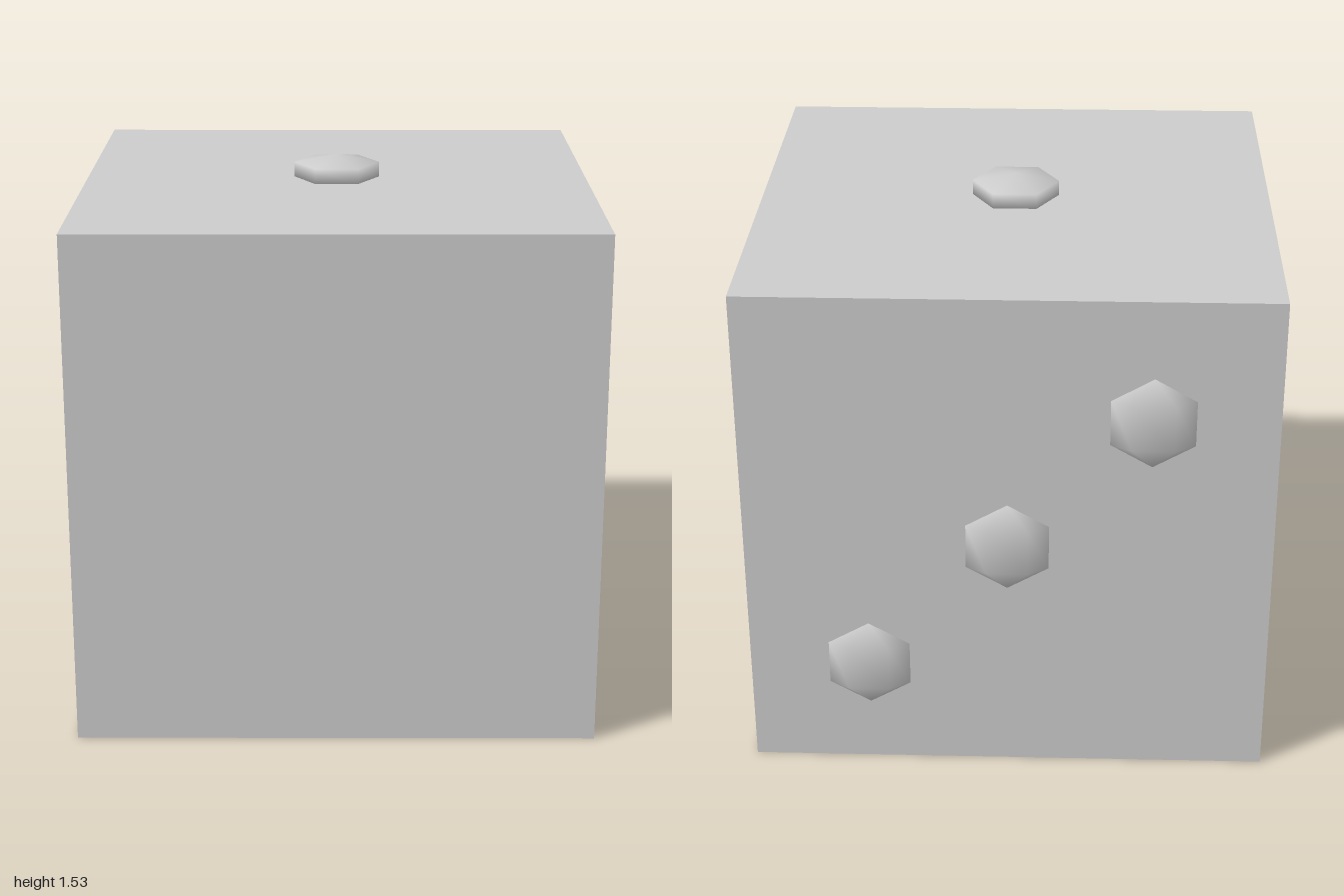
import * as THREE from 'three';

export function createModel() {
  const model = new THREE.Group();
  model.name = 'die';
  const grey = new THREE.MeshStandardMaterial({ color: 0xcccccc });
  grey.name = 'grey';

  const side = 1.464;
  model.rotation.y = Math.PI / 6;

  // cube body
  const body = new THREE.Mesh(new THREE.BoxGeometry(side, side, side), grey);
  body.name = 'body';
  body.position.y = side / 2;
  model.add(body);

  // pips: coarse smooth spheres flattened against their face
  const ball = new THREE.SphereGeometry(1, 6, 3);
  function addPip(name, position, scale) {
    const pip = new THREE.Mesh(ball, grey);
    pip.name = name;
    pip.position.set(...position);
    pip.scale.set(...scale);
    model.add(pip);
  }

  // one pip on top
  addPip('topPip', [0, side + 0.02, 0], [0.144, 0.047, 0.144]);

  // three pips on a diagonal of the back face
  for (const i of [-1, 0, 1]) {
    addPip('backPip', [i * 0.39, side / 2 - i * 0.39, -side / 2 - 0.027], [0.132, 0.132, 0.046]);
  }

  const root = new THREE.Group();
  root.name = 'model';
  root.add(model);
  return root;
}
